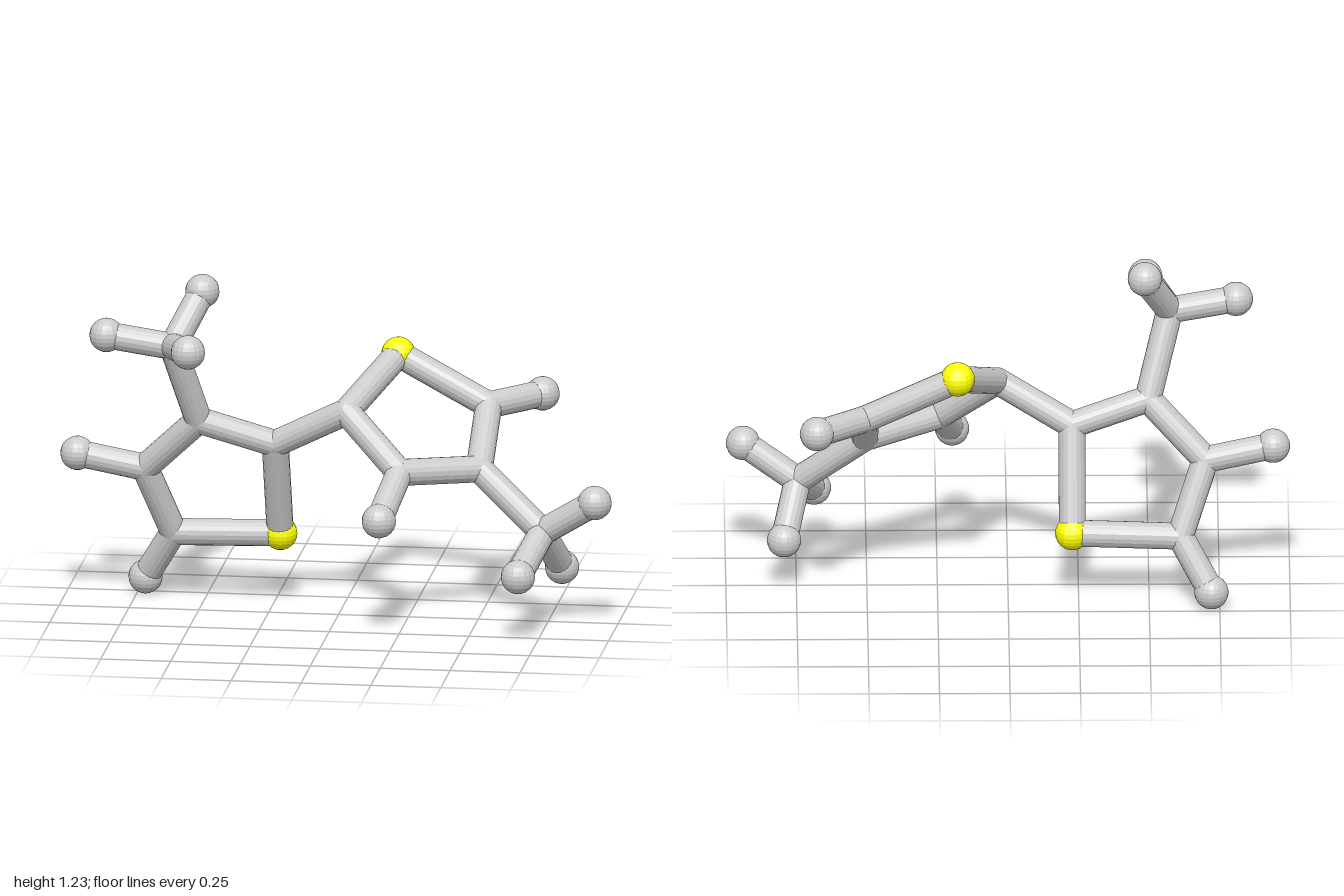
import * as THREE from 'three';

const BOND_RADIUS = 0.048;
const BALL_RADIUS = 0.061;

// Ring joints, branch joints and end balls, as [x, y, z]
const atoms = {
  // upright ring on the right-hand side
  sulfurA: [-0.227, 0.26, -0.14],
  a2: [-0.227, 0.62, -0.006],
  a3: [-0.497, 0.705, 0.027],
  a4: [-0.70, 0.505, -0.055],
  a5: [-0.61, 0.25, -0.148],
  endA4: [-0.94, 0.553, -0.043],
  endA5: [-0.72, 0.065, -0.22],
  branchA: [-0.575, 1.0, 0.138],
  endA6: [-0.81, 1.037, 0.15],
  endA7: [-0.486, 1.173, 0.008],
  endA8: [-0.49, 1.037, 0.363],
  // tilted ring on the left-hand side
  sulfurB: [0.18, 0.90, -0.255],
  b2: [0.037, 0.762, 0.06],
  b3: [0.243, 0.578, 0.185],
  b4: [0.507, 0.56, 0.025],
  b5: [0.508, 0.733, -0.218],
  endB3: [0.195, 0.447, 0.378],
  endB5: [0.68, 0.742, -0.375],
  branchB: [0.745, 0.36, 0.115],
  endB6: [0.938, 0.484, 0.162],
  endB7: [0.685, 0.245, 0.322],
  endB8: [0.794, 0.195, -0.042],
};

const bonds = [
  ['sulfurA', 'a2'], ['a2', 'a3'], ['a3', 'a4'], ['a4', 'a5'], ['a5', 'sulfurA'],
  ['a4', 'endA4'], ['a5', 'endA5'], ['a3', 'branchA'],
  ['branchA', 'endA6'], ['branchA', 'endA7'], ['branchA', 'endA8'],
  ['a2', 'b2'],
  ['sulfurB', 'b2'], ['b2', 'b3'], ['b3', 'b4'], ['b4', 'b5'], ['b5', 'sulfurB'],
  ['b3', 'endB3'], ['b5', 'endB5'], ['b4', 'branchB'],
  ['branchB', 'endB6'], ['branchB', 'endB7'], ['branchB', 'endB8'],
];

export function createModel() {
  const model = new THREE.Group();
  model.name = 'molecule';
  const grey = new THREE.MeshStandardMaterial({ color: 0xcccccc, flatShading: true });
  const yellow = new THREE.MeshStandardMaterial({ color: 0xffff00, flatShading: true });
  const ball = new THREE.SphereGeometry(BALL_RADIUS, 18, 12);
  const joint = new THREE.SphereGeometry(BOND_RADIUS, 18, 12);
  const up = new THREE.Vector3(0, 1, 0);

  // Balls: large at the ends and on sulfur, bond-sized at the carbon joints
  for (const [key, position] of Object.entries(atoms)) {
    const isSulfur = key.startsWith('sulfur');
    const isEnd = key.startsWith('end');
    const mesh = new THREE.Mesh(isSulfur || isEnd ? ball : joint, isSulfur ? yellow : grey);
    mesh.name = isSulfur ? 'sulfurBall' : isEnd ? 'hydrogenBall' : 'carbonJoint';
    mesh.position.set(...position);
    model.add(mesh);
  }

  // Rods from centre to centre
  for (const [from, to] of bonds) {
    const start = new THREE.Vector3(...atoms[from]);
    const end = new THREE.Vector3(...atoms[to]);
    const span = end.clone().sub(start);
    const rod = new THREE.Mesh(
      new THREE.CylinderGeometry(BOND_RADIUS, BOND_RADIUS, span.length(), 18), grey);
    rod.name = 'bond';
    rod.position.copy(start).add(end).multiplyScalar(0.5);
    rod.quaternion.setFromUnitVectors(up, span.normalize());
    model.add(rod);
  }
  return model;
}
